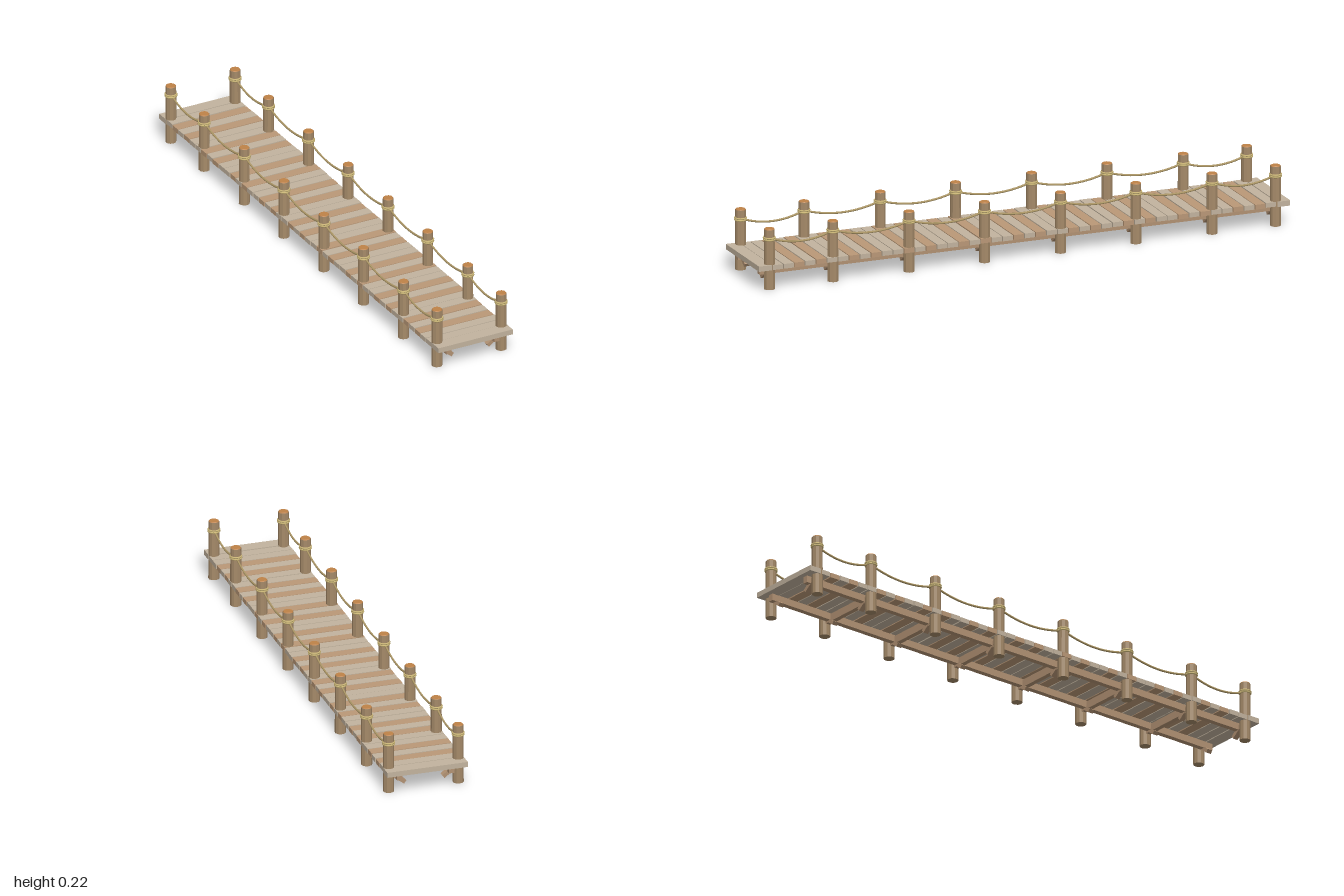
import * as THREE from 'three';

const mat = (name, color, flatShading = false) => {
  const m = new THREE.MeshStandardMaterial({ color, flatShading });
  m.name = name;
  return m;
};

export function createModel() {
  const root = new THREE.Group();
  root.name = 'pier';
  const bark = mat('bark brown', 0xa58a69, true);
  const cutWood = mat('cut wood orange', 0xbf8248);
  const greyWood = mat('weathered grey wood', 0xc2b39e);
  const tanWood = mat('tan wood', 0xba9877);
  const beamWood = mat('beam brown', 0xb29273);
  const coilRope = mat('pale coil rope', 0xcdb878);
  const handRope = mat('hand rope', 0xb09a68);

  const add = (name, geo, material, x, y, z, parent = root) => {
    const m = new THREE.Mesh(geo, material);
    m.name = name;
    m.position.set(x, y, z);
    parent.add(m);
    return m;
  };
  const box = (name, w, h, d, material, x, y, z) =>
    add(name, new THREE.BoxGeometry(w, h, d), material, x, y, z);

  let seed = 7;
  const rand = () => (seed = (seed * 16807) % 2147483647) / 2147483647;

  // Deck: wide end boards with narrower planks between them
  for (const s of [-1, 1]) box('endBoard', 0.294, 0.019, 0.048, greyWood, 0, 0.081, s * 0.976);
  const count = 46, span = 1.9, pitch = span / count;
  for (let i = 0; i < count; i++) {
    const material = [1, 3].includes(i % 5) ? tanWood : greyWood;
    const width = 0.29 + rand() * 0.004;
    box('plank', width, 0.017, pitch - 0.0035, material,
      0, 0.08 + rand() * 0.002, -span / 2 + (i + 0.5) * pitch);
  }

  // Long bearers under the deck
  for (const s of [-1, 1]) box('bearer', 0.02, 0.025, 1.96, beamWood, s * 0.095, 0.0595, 0);

  const stations = [-0.953, -0.714, -0.427, -0.143, 0.143, 0.427, 0.714, 0.953];
  const postX = 0.127, ropeY = 0.183;

  const shaft = new THREE.CylinderGeometry(0.019, 0.0195, 0.216, 10, 1);
  const cap = new THREE.CylinderGeometry(0.0165, 0.0185, 0.003, 10);
  const coil = new THREE.TorusGeometry(0.0195, 0.0035, 6, 16).rotateX(Math.PI / 2);
  const brace = new THREE.BoxGeometry(0.058, 0.014, 0.02);

  for (const z of stations) {
    // Cross beams between the inner posts, diagonal braces at every post
    if (Math.abs(z) < 0.9) box('crossBeam', 0.222, 0.028, 0.018, beamWood, 0, 0.055, z);
    for (const s of [-1, 1]) {
      add('brace', brace, beamWood, s * 0.093, 0.047, z).rotation.z = s * 0.63;

      // Post with cut top and two turns of rope
      const post = new THREE.Group();
      post.name = 'post';
      post.position.set(s * postX, 0, z);
      root.add(post);
      add('postShaft', shaft, bark, 0, 0.108, 0, post);
      add('postTop', cap, cutWood, 0, 0.2172, 0, post);
      for (const y of [0.1795, 0.186]) add('ropeCoil', coil, coilRope, 0, y, 0, post);
    }
  }

  // Sagging handrail ropes between neighbouring posts
  for (const s of [-1, 1]) {
    for (let i = 0; i < stations.length - 1; i++) {
      const points = [];
      for (let k = 0; k <= 8; k++) {
        const t = k / 8;
        points.push(new THREE.Vector3(s * postX,
          ropeY - 0.024 * 4 * t * (1 - t),
          THREE.MathUtils.lerp(stations[i], stations[i + 1], t)));
      }
      const curve = new THREE.CatmullRomCurve3(points);
      add('handRope', new THREE.TubeGeometry(curve, 16, 0.0038, 6), handRope, 0, 0, 0);
    }
  }
  return root;
}
